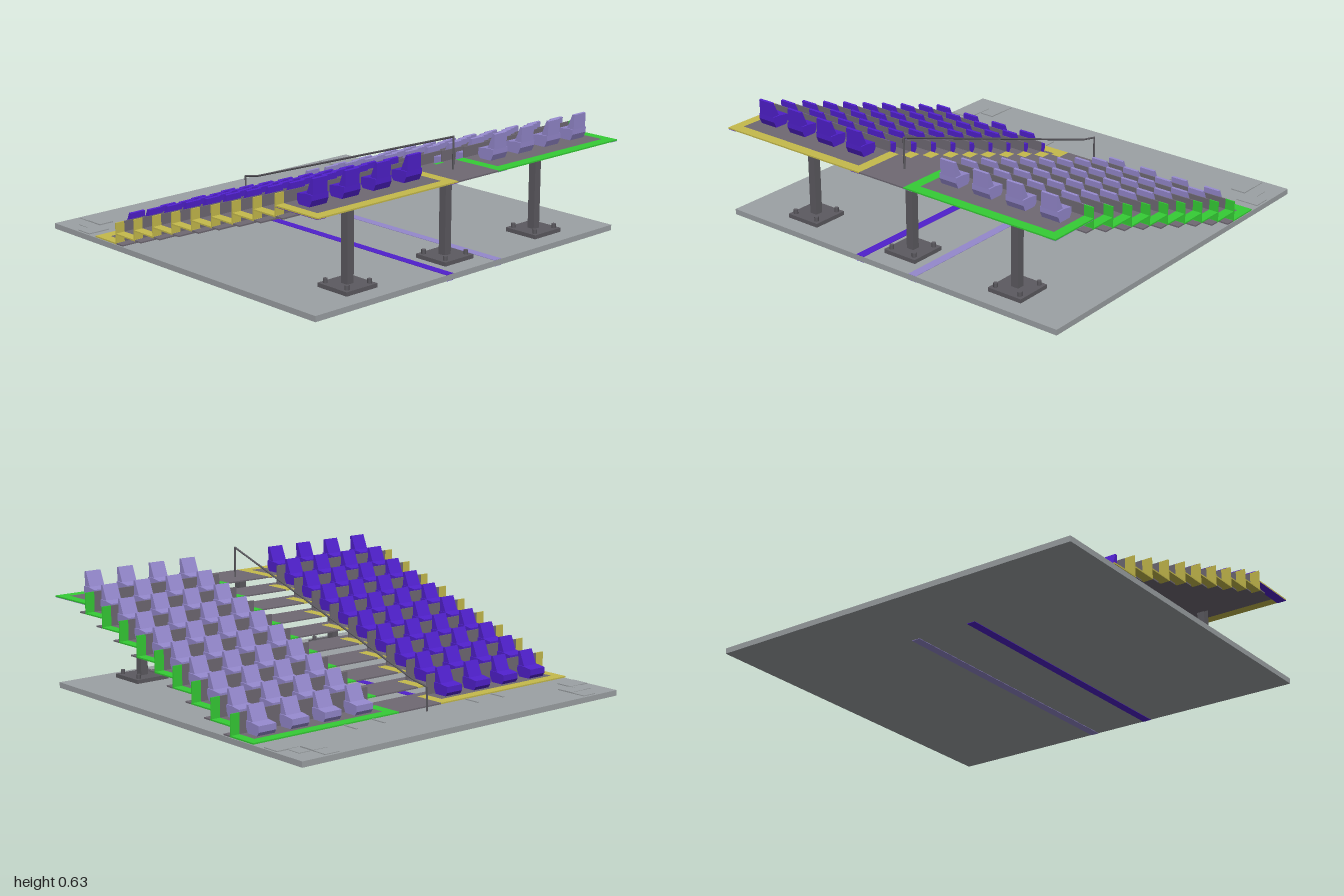
import * as THREE from 'three';

const mat = (name, color) => Object.assign(new THREE.MeshStandardMaterial({ color }), { name });

export function createModel() {
  const group = new THREE.Group();
  const concrete = mat('concrete grey', 0x9ca1a4);
  const deck = mat('deck grey', 0x6f6973);
  const steel = mat('steel grey', 0x5c5a60);
  const yellow = mat('yellow', 0xc5ba4c);
  const green = mat('green', 0x35cc35);
  const violet = mat('violet', 0x5020cc);
  const lavender = mat('lavender', 0x9488cc);

  // Box given by its limits on each axis
  function box(name, material, x0, x1, y0, y1, z0, z1, parent = group) {
    const m = new THREE.Mesh(new THREE.BoxGeometry(x1 - x0, y1 - y0, Math.abs(z1 - z0)), material);
    m.position.set((x0 + x1) / 2, (y0 + y1) / 2, (z0 + z1) / 2);
    m.name = name;
    parent.add(m);
    return m;
  }

  // Side profile extruded across z, centred
  function profile(points, width) {
    const shape = new THREE.Shape(points.map(([x, y]) => new THREE.Vector2(x, y)));
    return new THREE.ExtrudeGeometry(shape, { depth: width, bevelEnabled: false }).translate(0, 0, -width / 2);
  }
  const panGeo = profile([[0.012, 0], [0.08, 0], [0.094, 0.03], [0.094, 0.056], [0.055, 0.056], [0, 0.048], [0, 0.018]], 0.1);
  const backGeo = profile([[0.052, 0.054], [0.094, 0.054], [0.096, 0.128], [0.084, 0.13]], 0.086);

  // Ground slab and low paving
  box('groundSlab', concrete, -0.965, 0.95, 0.002, 0.03, -1, 1);
  for (const s of [1, -1]) {
    box('paving', concrete, -0.78, -0.69, 0.03, 0.035, s * 0.87, s * 0.99);
    box('paving', concrete, -0.87, -0.78, 0.03, 0.036, s * 0.78, s * 0.86);
    box('paving', concrete, -0.95, -0.87, 0.03, 0.034, s * 0.78, s * 0.86);
    box('paving', concrete, -0.86, -0.78, 0.03, 0.033, s * 0.87, s * 0.93);
    for (const z of [0.3, 0.47]) box('pavingEdge', concrete, -0.71, -0.625, 0.03, 0.035, s * z - 0.005, s * z + 0.005);
    // Painted ground stripe, showing through the slab
    box('groundStripe', s > 0 ? violet : lavender, -0.56, 0.949, 0, 0.032, s * 0.14, s * 0.185);
  }

  // Stepped rows
  const rows = 10, pitch = 0.1443, rise = 0.0478, thick = 0.007;
  for (let k = 0; k < rows; k++) {
    const first = k === 0, last = k === rows - 1;
    const row = new THREE.Group();
    row.name = 'row';
    group.add(row);
    const top = 0.04 + rise * k, low = top - thick;
    const x0 = first ? -0.625 : -0.605 + pitch * k;
    const x1 = last ? 0.965 : -0.41 + pitch * k;
    const riserX = -0.605 + pitch * (k + 1);
    const rimEnd = last ? x1 : riserX + 0.005;
    const in0 = first ? -0.57 : x0, in1 = last ? 0.91 : x1;

    box('aisleTread', deck, x0, x1, low, top, -0.135, 0.135, row);
    for (const s of [1, -1]) {
      const trim = s > 0 ? yellow : green;
      const seatMat = s > 0 ? violet : lavender;
      box('tread', deck, in0, in1, low, top, s * 0.19, s * 0.95, row);
      for (const [a, b] of [[0.135, 0.19], [0.95, 1]]) {
        box('sideTrim', trim, x0, rimEnd, low, top, s * a, s * b, row);
        if (!last) box('treadEnd', deck, rimEnd, x1, low, top, s * a, s * b, row);
        else box('trimUnderside', seatMat, x0, x1, low - 0.002, low, s * a, s * b, row);
      }
      if (first) box('frontTrim', trim, x0, in0, low, top, s * 0.19, s * 0.95, row);
      if (last) box('backTrim', trim, in1, x1, low, top, s * 0.19, s * 0.95, row);
      // Upright board behind the seats
      if (!last) {
        box('riser', deck, riserX - 0.003, riserX + 0.003, top, top + 0.1, s * 0.19, s * 0.95, row);
        box('riserTrim', trim, riserX - 0.003, riserX + 0.003, top, top + 0.1, s * 0.95, s, row);
      }
      // Four seats on each side of the aisle
      for (let i = 0; i < 4; i++) {
        const seat = new THREE.Group();
        seat.name = 'seat';
        seat.add(new THREE.Mesh(panGeo, seatMat), new THREE.Mesh(backGeo, seatMat));
        seat.children[0].name = 'seatPan';
        seat.children[1].name = 'backrest';
        seat.position.set(-0.557 + pitch * k, top, s * (0.289 + 0.192 * i));
        row.add(seat);
      }
    }
  }

  // Rear columns with bolted foot plates
  const boltGeo = new THREE.CylinderGeometry(0.011, 0.011, 0.024, 8);
  for (const z of [-0.63, 0, 0.63]) {
    box('column', steel, 0.74, 0.78, 0.05, 0.463, z - 0.02, z + 0.02);
    box('footPlate', steel, 0.665, 0.855, 0.03, 0.05, z - 0.095, z + 0.095);
    for (const dx of [-0.07, 0.07]) for (const dz of [-0.07, 0.07]) {
      const bolt = new THREE.Mesh(boltGeo, steel);
      bolt.name = 'bolt';
      bolt.position.set(0.76 + dx, 0.06, z + dz);
      group.add(bolt);
    }
  }

  // Aisle handrail
  const path = new THREE.CurvePath();
  const pts = [[-0.67, 0.03], [-0.67, 0.147], [-0.57, 0.167], [0.805, 0.625], [0.805, 0.465]]
    .map(([x, y]) => new THREE.Vector3(x, y, 0));
  for (let i = 1; i < pts.length; i++) path.add(new THREE.LineCurve3(pts[i - 1], pts[i]));
  path.curves.forEach((c) => {
    const rail = new THREE.Mesh(new THREE.TubeGeometry(c, 1, 0.005, 8), steel);
    rail.name = 'handrail';
    group.add(rail);
  });
  pts.forEach((p) => {
    const joint = new THREE.Mesh(new THREE.SphereGeometry(0.005, 8, 6), steel);
    joint.name = 'handrailJoint';
    joint.position.copy(p);
    group.add(joint);
  });

  return group;
}
